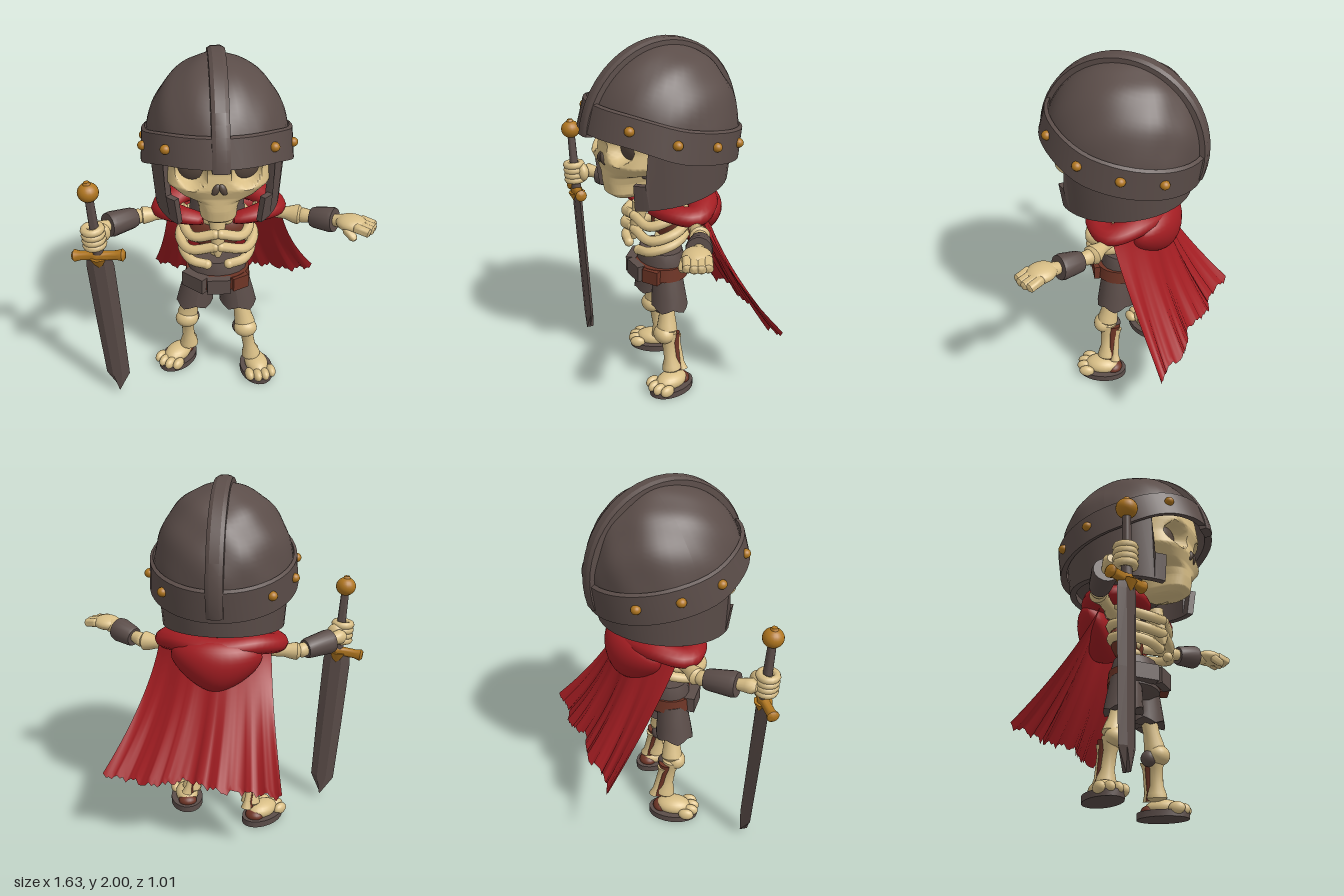
import * as THREE from 'three';
import { toCreasedNormals } from 'three/addons/utils/BufferGeometryUtils.js';

const V = (x, y, z) => new THREE.Vector3(x, y, z);
const flat = (name, color, side = THREE.FrontSide) => {
  const m = new THREE.MeshStandardMaterial({ color, side });
  m.name = name;
  return m;
};
const lerp = THREE.MathUtils.lerp;
const smooth = THREE.MathUtils.smoothstep;

// Skins a list of equal-sized rings, caps both ends and faces outward.
function loft(rings, crease = 0.7) {
  const n = rings[0].length, pts = rings.flat(), idx = [];
  for (let i = 0; i < rings.length - 1; i++) for (let j = 0; j < n; j++) {
    const a = i * n + j, b = i * n + (j + 1) % n;
    idx.push(a, b, a + n, b, b + n, a + n);
  }
  const last = (rings.length - 1) * n;
  for (let j = 1; j < n - 1; j++) idx.push(0, j + 1, j, last, last + j, last + j + 1);
  let vol = 0;
  for (let k = 0; k < idx.length; k += 3)
    vol += pts[idx[k]].dot(pts[idx[k + 1]].clone().cross(pts[idx[k + 2]]));
  if (vol < 0) idx.reverse();
  const g = new THREE.BufferGeometry().setFromPoints(pts);
  g.setIndex(idx);
  return toCreasedNormals(g, crease);
}

// Moves every vertex of a geometry by a rule.
function warp(g, rule) {
  const p = g.attributes.position, v = V(0, 0, 0);
  for (let i = 0; i < p.count; i++) {
    rule(v.fromBufferAttribute(p, i));
    p.setXYZ(i, v.x, v.y, v.z);
  }
  g.computeVertexNormals();
  return g;
}

export function createModel() {
  const model = new THREE.Group();
  const iron = flat('dark iron', 0x5b4d49, THREE.DoubleSide);
  const bone = flat('bone', 0xd8be86);
  const red = flat('red cloth', 0xa31d22, THREE.DoubleSide);
  const gold = flat('old gold', 0xb0761f);
  const leather = flat('brown leather', 0x6e3526);
  const hollow = flat('eye hollow', 0x55463d);
  const trouser = flat('trouser cloth', 0x5a4c48, THREE.DoubleSide);

  const add = (name, geo, mat, parent = model) => {
    const m = new THREE.Mesh(geo, mat);
    m.name = name;
    parent.add(m);
    return m;
  };
  const group = (name, x, y, z) => {
    const g = new THREE.Group();
    g.name = name;
    g.position.set(x, y, z);
    model.add(g);
    return g;
  };
  const ball = (name, mat, p, s, parent) => {
    const m = add(name, new THREE.SphereGeometry(1, 20, 14), mat, parent);
    m.position.set(...p);
    m.scale.set(...s);
    return m;
  };
  // Turned rod from a to b; profile holds [fraction of length, radius].
  const rod = (name, mat, a, b, profile, parent) => {
    const d = V(...b).sub(V(...a)), len = d.length();
    const pts = profile.map(([t, r]) => new THREE.Vector2(r, t * len));
    pts.unshift(new THREE.Vector2(0, profile[0][0] * len));
    pts.push(new THREE.Vector2(0, profile.at(-1)[0] * len));
    const m = add(name, toCreasedNormals(new THREE.LatheGeometry(pts, 16), 0.8), mat, parent);
    m.position.set(...a);
    m.quaternion.setFromUnitVectors(V(0, 1, 0), d.normalize());
    return m;
  };
  const boneRod = (name, a, b, r, k) => rod(name, bone, a, b,
    [[-0.04, k * 0.6], [0.04, k], [0.14, k * 0.92], [0.32, r], [0.68, r], [0.86, k * 0.92], [0.96, k], [1.04, k * 0.6]]);

  // Helmet: tilted, dented dome, riveted band arched over the face, and crest
  const helmet = group('helmet', -0.03, 1.5, 0.03);
  helmet.rotation.x = -0.2;
  add('helmetDome', warp(new THREE.SphereGeometry(1, 48, 24, 0, Math.PI * 2, 0, Math.PI / 2), v => {
    const k = 1 + 0.014 * Math.sin(9 * v.x + 2) * Math.sin(8 * v.y + 7 * v.z);
    v.set(v.x * 0.38 * k, v.y * 0.468 * k, v.z * 0.43 * k);
  }), iron, helmet);
  const bandPts = [[1.04, -0.075], [1.015, 0.09], [0.97, 0.1], [0.95, -0.06], [1.04, -0.075]];
  const band = add('helmetBand', toCreasedNormals(warp(new THREE.LatheGeometry(
    bandPts.map(p => new THREE.Vector2(...p)), 48), v => {
    v.y += (v.y < 0 ? 0.045 : 0.03) * smooth(v.z, 0.1, 0.85);
  }), 0.6), iron, helmet);
  band.scale.set(0.388, 1, 0.438);
  const crest = [];
  for (let i = 0; i <= 28; i++) {
    const a = lerp(-0.1, Math.PI + 0.1, i / 28), c = Math.cos(a), s = Math.sin(a);
    crest.push([[-0.047, 0.97], [-0.045, 1.06], [-0.025, 1.085], [0.025, 1.085], [0.045, 1.06], [0.047, 0.97]]
      .map(([x, k]) => V(x, s * 0.462 * k, c * 0.43 * k)));
  }
  add('helmetCrest', loft(crest, 0.5), iron, helmet);
  for (const side of [-1, 1]) for (const deg of [42, 75, 105, 135]) {
    const a = deg * Math.PI / 180;
    ball('rivet', gold, [side * Math.sin(a) * 0.4, deg < 50 ? 0.05 : 0.02, Math.cos(a) * 0.452], [0.027, 0.025, 0.027], helmet);
  }

  // Cheek and neck guard, open at the face, with a dark lining
  const guard = [];
  for (const deg of [40, 45, 50, 53, ...Array.from({ length: 27 }, (_, i) => 62 + i * 9.077), 307, 310, 315, 320]) {
    const a = deg * Math.PI / 180, s = Math.sin(a), c = Math.cos(a);
    const top = Math.min(deg, 360 - deg) < 52 ? 1.31 : 1.5 + 0.08 * c;
    const low = lerp(1.24, 1.16, (c + 1) / 1.77);
    guard.push([[0.335, 0.365, low], [0.36, 0.385, top], [0.325, 0.35, top], [0.3, 0.33, low]]
      .map(([rx, rz, y]) => V(-0.03 + s * rx, y, 0.02 + c * rz)));
  }
  add('cheekAndNeckGuard', loft(guard, 0.6), iron);
  ball('helmetLining', trouser, [-0.03, 1.3, -0.05], [0.31, 0.05, 0.28]);

  // Skull from horizontal sections: y, half width, front z, back z
  const sections = [[1.175, 0.075, 0.32, 0.12], [1.2, 0.097, 0.355, 0.08], [1.26, 0.105, 0.365, 0.05], [1.305, 0.125, 0.365, 0.02],
    [1.335, 0.205, 0.365, 0], [1.39, 0.265, 0.385, -0.02], [1.48, 0.272, 0.372, -0.2], [1.55, 0.27, 0.395, -0.27], [1.66, 0.26, 0.38, -0.26]];
  const skullRings = [];
  for (let i = 0; i <= 64; i++) {
    const f = i / 64 * 7.999, k = Math.floor(f);
    const [y, w, zf, zb] = sections[k].map((q, j) => lerp(q, sections[k + 1][j], f - k));
    const mid = Math.max(0.1, (zf + zb) / 2);
    skullRings.push(Array.from({ length: 96 }, (_, j) => {
      const a = j / 96 * Math.PI * 2, s = Math.sin(a), c = Math.cos(a);
      const x = w * Math.sign(s) * Math.abs(s) ** 0.75;
      let z = mid + (c > 0 ? (zf - mid) * c ** 0.75 : (zb - mid) * (-c) ** 0.75);
      const d = Math.hypot(Math.abs(x) - 0.14, y - 1.475) / 0.083;
      if (c > 0) z -= 0.085 * (1 - smooth(d, 0.6, 1.0));
      return V(x - 0.035, y, z);
    }));
  }
  add('skull', loft(skullRings, 1), bone);
  for (const s of [-1, 1]) {
    ball('eyeSocket', hollow, [-0.035 + s * 0.14, 1.475, 0.268], [0.078, 0.075, 0.035]).rotation.y = s * 0.35;
    ball('noseHollow', hollow, [-0.035 + s * 0.018, 1.4, 0.372], [0.021, 0.036, 0.022]).rotation.z = s * 0.45;
  }

  // Neck, spine and rib cage
  const neck = rod('neckWrap', leather, [-0.03, 1.05, -0.11], [-0.03, 1.28, -0.11], [[0, 0.11], [0.5, 0.1], [1, 0.11]]);
  neck.scale.set(1.3, 1, 0.75);
  const collar = rod('collar', trouser, [-0.03, 1.08, 0], [-0.03, 1.21, 0], [[0, 0.11], [1, 0.1]]);
  collar.scale.x = 1.4;
  for (let i = 0; i < 8; i++)
    ball('vertebra', bone, [-0.035, 0.77 + i * 0.05, 0.02], [0.038, 0.029, 0.045]);
  ball('backPlate', leather, [-0.03, 0.94, -0.02], [0.16, 0.12, 0.075]);
  rod('sternum', bone, [-0.035, 0.89, 0.2], [-0.035, 1.1, 0.15], [[0, 0.012], [0.2, 0.034], [0.7, 0.04], [1, 0.05]]);
  for (const s of [-1, 1]) {
    [[1.045, 0.18, 0.015], [0.965, 0.205, 0.015], [0.895, 0.19, 0.06]].forEach(([y, w, end], i) => {
      const path = new THREE.CatmullRomCurve3([V(-0.035, y + 0.02, -0.05), V(-0.035 + s * w * 0.7, y + 0.025, -0.05),
        V(-0.035 + s * w, y, 0.06), V(-0.035 + s * w * 0.75, y - 0.035, 0.175),
        V(-0.035 + s * end, y - (i === 2 ? 0.05 : 0.01), 0.2)]);
      add('rib', new THREE.TubeGeometry(path, 24, 0.028, 8), bone);
      const tip = path.getPoint(1);
      ball('ribTip', bone, [tip.x, tip.y, tip.z], [0.028, 0.028, 0.028]);
    });
    boneRod('collarbone', [-0.03 + s * 0.03, 1.08, 0.12], [-0.03 + s * 0.25, 1.07, 0], 0.02, 0.035);
  }

  // Trousers, belt and pouches
  const hips = rod('trouserWaist', trouser, [-0.03, 0.6, 0.03], [-0.03, 0.81, 0.03], [[0, 0.09], [0.2, 0.165], [0.7, 0.165], [1, 0.145]]);
  hips.scale.z = 0.78;
  const belt = add('belt', toCreasedNormals(new THREE.CylinderGeometry(0.178, 0.185, 0.075, 32), 0.6), leather);
  belt.position.set(-0.03, 0.7, 0.04);
  belt.scale.z = 0.84;
  const pad = (name, mat, x, z, w, h, d, turn) => {
    const m = add(name, new THREE.BoxGeometry(w, h, d), mat);
    m.position.set(x, 0.695, z);
    m.rotation.y = turn;
  };
  pad('buckle', iron, -0.03, 0.19, 0.13, 0.09, 0.045, 0);
  pad('ironPouch', iron, -0.158, 0.135, 0.15, 0.088, 0.06, -0.75);
  pad('leatherPouch', leather, 0.085, 0.15, 0.1, 0.08, 0.05, 0.5);

  // Legs and feet
  const leg = (hip, knee, ankle, foot, turn) => {
    const lean = knee[0] - hip[0], inward = -Math.sign(lean);
    const shorts = add('trouserLeg', warp(new THREE.CylinderGeometry(0.085, 0.105, 0.19, 20, 3), v => {
      if (v.y < -0.09) v.y += 0.014 * Math.sin(Math.atan2(v.z, v.x) * 5) + inward * v.x * 0.2;
    }), trouser);
    shorts.position.set(hip[0] + lean * 0.2, 0.585, hip[2]);
    shorts.rotation.z = lean * 2.2;
    boneRod('thighBone', hip, knee, 0.045, 0.06);
    ball('kneecap', bone, [knee[0], knee[1] - 0.01, knee[2] + 0.02], [0.068, 0.055, 0.058]);
    ball('kneePad', trouser, [knee[0] + inward * 0.035, knee[1] - 0.03, knee[2] - 0.025], [0.04, 0.045, 0.045]);
    boneRod('shinBone', knee, ankle, 0.036, 0.055);
    rod('calfBone', bone, [knee[0], knee[1] - 0.04, knee[2] - 0.06], [ankle[0] + 0.02, ankle[1], ankle[2] - 0.06],
      [[0, 0.03], [0.2, 0.018], [0.8, 0.018], [1, 0.03]]);
    rod('calfWrap', leather, [knee[0], knee[1] - 0.02, knee[2] - 0.04], [ankle[0] + 0.01, ankle[1], ankle[2] - 0.04],
      [[0, 0.04], [0.3, 0.025], [0.8, 0.02], [1, 0.03]]);
    const f = group('foot', foot[0], 0, foot[1]);
    f.rotation.y = turn;
    const sole = add('sole', toCreasedNormals(new THREE.CylinderGeometry(1, 1, 0.036, 24), 0.6), iron, f);
    sole.position.y = 0.018;
    sole.scale.set(0.095, 1, 0.142);
    ball('footBone', bone, [0, 0.058, 0], [0.068, 0.05, 0.1], f);
    ball('heelStrap', leather, [0, 0.045, -0.07], [0.055, 0.035, 0.05], f);
    for (let i = 0; i < 4; i++)
      ball('toe', bone, [-0.066 + i * 0.044, 0.046, 0.085 + (i % 3 ? 0.02 : 0)], [0.027, 0.034, 0.045], f);
  };
  leg([-0.13, 0.67, 0.02], [-0.21, 0.35, -0.02], [-0.2, 0.1, -0.06], [-0.27, -0.04], -0.65);
  leg([0.06, 0.67, 0.04], [0.13, 0.34, 0.08], [0.17, 0.1, 0.07], [0.2, 0.09], 0.2);

  // Arms and cuffs
  const cuffShape = [[0, 0.052], [0.1, 0.058], [0.85, 0.07], [1, 0.066]];
  boneRod('rightUpperArm', [-0.2, 1.06, -0.02], [-0.45, 1.05, 0], 0.035, 0.05);
  boneRod('rightForearm', [-0.45, 1.05, 0], [-0.69, 1.08, 0.19], 0.03, 0.042);
  rod('rightCuff', iron, [-0.485, 1.055, 0.025], [-0.625, 1.07, 0.13], cuffShape);
  boneRod('leftUpperArm', [0.18, 1.06, -0.03], [0.43, 1.055, 0.05], 0.035, 0.055);
  boneRod('leftForearm', [0.43, 1.055, 0.05], [0.66, 1.09, 0.2], 0.03, 0.042);
  rod('leftCuff', iron, [0.49, 1.06, 0.085], [0.6, 1.08, 0.16], cuffShape);

  // Open left hand
  const hand = group('leftHand', 0.68, 1.095, 0.22);
  hand.rotation.y = -0.5;
  ball('leftPalm', bone, [0, 0, 0], [0.085, 0.042, 0.075], hand);
  for (let i = 0; i < 4; i++) {
    const z = -0.05 + i * 0.033;
    rod('finger', bone, [0.03, 0.005, z], [0.135 - Math.abs(i - 1.5) * 0.01, -0.012, z],
      [[0, 0.018], [0.1, 0.026], [0.5, 0.025], [0.9, 0.025], [1, 0.014]], hand);
  }
  rod('thumb', bone, [-0.02, -0.01, 0.05], [0.05, -0.055, 0.075], [[0, 0.016], [0.2, 0.025], [0.8, 0.023], [1, 0.012]], hand);

  // Sword with the right fist around its grip
  const sword = group('sword', -0.672, 0.96, 0.262);
  sword.rotation.set(0.04, -0.2, 0.068);
  const blade = [[0.0, 0.068], [-0.06, 0.078], [-0.45, 0.075], [-0.82, 0.068], [-0.935, 0.004]].map(([y, w]) =>
    [V(-w, y, 0), V(-w * 0.4, y, 0.022), V(w * 0.4, y, 0.022), V(w, y, 0), V(w * 0.4, y, -0.022), V(-w * 0.4, y, -0.022)]);
  add('blade', loft(blade, 0.2), iron, sword);
  rod('crossGuard', gold, [-0.145, -0.003, 0], [0.145, 0.01, 0],
    [[0, 0.022], [0.04, 0.034], [0.15, 0.026], [0.4, 0.026], [0.5, 0.036], [0.6, 0.026], [0.85, 0.026], [0.96, 0.034], [1, 0.022]], sword);
  const point = add('guardPoint', new THREE.ConeGeometry(0.052, 0.1, 8), gold, sword);
  point.position.y = -0.055;
  point.rotation.x = Math.PI;
  rod('grip', iron, [0, 0, 0], [0, 0.36, 0], [[0, 0.03], [0.5, 0.025], [1, 0.022]], sword);
  ball('pommel', gold, [0, 0.39, 0], [0.056, 0.052, 0.056], sword);
  rod('pommelCap', gold, [0, 0.42, 0], [0, 0.45, 0], [[0, 0.03], [1, 0.015]], sword);
  for (let i = 0; i < 4; i++) {
    const ring = add('curledFinger', new THREE.TorusGeometry(0.045, 0.021, 8, 18), bone, sword);
    ring.position.set(-0.01, 0.075 + i * 0.031, 0);
    ring.rotation.x = Math.PI / 2;
  }
  ball('rightPalm', bone, [0.02, 0.12, -0.045], [0.05, 0.055, 0.035], sword);

  // Cape with broad folds and a ragged hem
  add('cape', warp(new THREE.PlaneGeometry(2, 1, 64, 24), p => {
    const u = p.x, v = 0.5 - p.y, t = v ** 1.5;
    const rag = 0.03 * Math.abs(Math.sin(u * 17)) + 0.025 * Math.abs(Math.sin(u * 41 + 1)) + 0.015 * Math.cos(u * 5);
    const fold = 0.02 * v * Math.sin(u * 9 + 1) + 0.006 * v * Math.sin(u * 21);
    const x = lerp(-0.3 - 0.1 * t, 0.32 + 0.27 * t, (u + 1) / 2);
    const z = -0.17 - 0.27 * v ** 1.4 + 0.15 * u * u * (1 - v * 0.8) + fold + (u > 0 ? 0.02 : -0.075) * Math.abs(u) * v;
    p.set(x, 1.13 - v * (0.75 - rag * v), z);
  }), red);

  // Rolled mantle over the shoulders and the hood hanging to a point behind
  const roll = new THREE.CatmullRomCurve3([V(-0.11, 1.09, 0.13), V(-0.24, 1.11, 0.1), V(-0.32, 1.1, 0), V(-0.22, 1.13, -0.12),
    V(-0.02, 1.12, -0.18), V(0.18, 1.13, -0.12), V(0.28, 1.1, 0), V(0.2, 1.11, 0.1), V(0.05, 1.09, 0.13)]);
  const mantle = [];
  for (let i = 0; i <= 48; i++) {
    const t = i / 48, c = roll.getPoint(t), d = roll.getTangent(t);
    const out = V(d.z, 0, -d.x).normalize(), r = 0.03 + 0.04 * Math.sin(Math.PI * t) ** 0.5;
    mantle.push(Array.from({ length: 12 }, (_, j) => {
      const a = j / 12 * Math.PI * 2;
      return c.clone().addScaledVector(out, Math.cos(a) * r * 1.15).add(V(0, Math.sin(a) * r * 0.85, 0));
    }));
  }
  add('mantle', loft(mantle, 1), red);
  add('hood', warp(new THREE.SphereGeometry(1, 32, 20), v => {
    const k = 1 + (v.y - 1) * 0.26;
    v.set(-0.01 + v.x * 0.32 * k, 1.02 + v.y * 0.15, -0.19 + v.z * 0.115 - 0.01 * v.y + 0.05 * v.x * v.x);
  }), red);
  return model;
}
